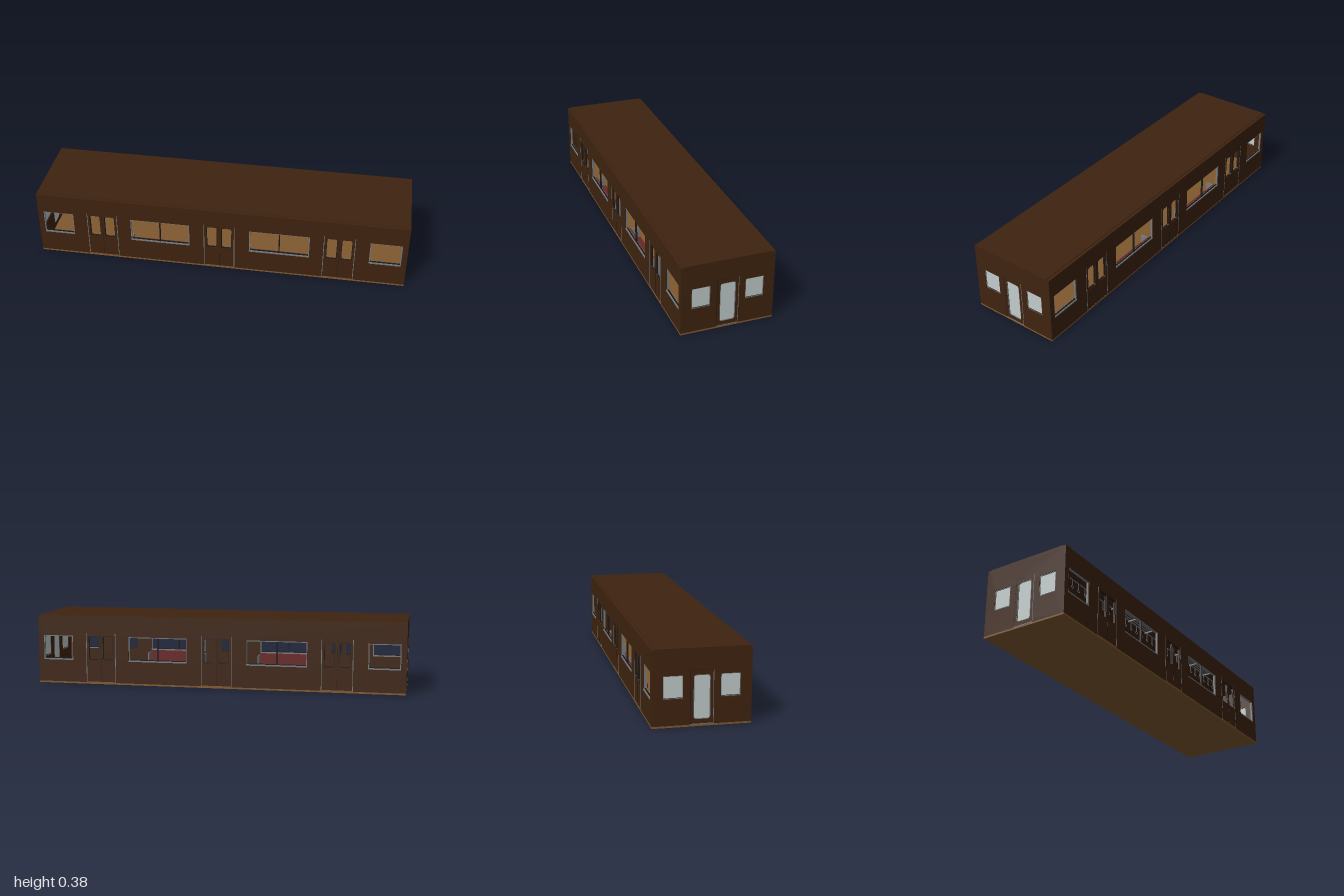
import * as THREE from 'three';

const mat = (name, color) => {
  const m = new THREE.MeshStandardMaterial({ color });
  m.name = name;
  return m;
};

export function createModel() {
  const brown = mat('body brown', 0x3f230f);
  const tan = mat('floor tan', 0x80592f);
  const metal = mat('metal grey', 0x767b7e);
  const glass = mat('pale glass', 0xc2cdcb);
  const red = mat('seat red', 0x6a2626);
  const dark = mat('dark trim', 0x1b1a1a);

  const model = new THREE.Group();
  model.name = 'railwayCarriage';
  const W = 0.238, T = 0.012;

  // Box given by its extents
  const box = (parent, name, m, x0, x1, y0, y1, z0, z1) => {
    const mesh = new THREE.Mesh(new THREE.BoxGeometry(x1 - x0, y1 - y0, z1 - z0), m);
    mesh.position.set((x0 + x1) / 2, (y0 + y1) / 2, (z0 + z1) / 2);
    mesh.name = name;
    parent.add(mesh);
    return mesh;
  };

  // Rounded rectangle outline as a shape or a hole
  const rect = (C, x0, x1, y0, y1, r = 0) => {
    const p = new C();
    p.moveTo(x0 + r, y0);
    p.lineTo(x1 - r, y0);
    if (r) p.quadraticCurveTo(x1, y0, x1, y0 + r);
    p.lineTo(x1, y1 - r);
    if (r) p.quadraticCurveTo(x1, y1, x1 - r, y1);
    p.lineTo(x0 + r, y1);
    if (r) p.quadraticCurveTo(x0, y1, x0, y1 - r);
    p.lineTo(x0, y0 + r);
    if (r) p.quadraticCurveTo(x0, y0, x0 + r, y0);
    return p;
  };
  const extrude = (parent, name, m, shape, depth, z) => {
    const g = new THREE.ExtrudeGeometry(shape, { depth, bevelEnabled: false, curveSegments: 5 });
    const mesh = new THREE.Mesh(g, m);
    mesh.position.z = z;
    mesh.name = name;
    parent.add(mesh);
  };
  // Hollow frame filling a hole of the given size
  const frame = (parent, name, m, x0, x1, y0, y1, b, r, depth, z) => {
    const s = rect(THREE.Shape, x0, x1, y0, y1, r);
    s.holes.push(rect(THREE.Path, x0 + b, x1 - b, y0 + b, y1 - b, r * 0.75));
    extrude(parent, name, m, s, depth, z);
  };

  // Floor, ceiling and slightly raised roof panel
  box(model, 'floor', tan, -1, 1, 0, 0.009, -W, W);
  box(model, 'roof', brown, -1, 1, 0.358, 0.372, -W + T, W - T);
  box(model, 'roofPanel', brown, -1, 1, 0.372, 0.375, -0.222, 0.222);

  const doors = [-0.643, 0, 0.643];
  const windows = [[-0.971, -0.803], [-0.486, -0.162], [0.162, 0.486], [0.803, 0.971]];

  // One long side, built facing +z with its outer face at z = W
  const makeSide = () => {
    const side = new THREE.Group();
    const wall = rect(THREE.Shape, -1, 1, 0.009, 0.372);
    for (const [a, b] of windows) wall.holes.push(rect(THREE.Path, a, b, 0.129, 0.264));
    for (const d of doors) for (const s of [-0.04, 0.04])
      wall.holes.push(rect(THREE.Path, d + s - 0.029, d + s + 0.029, 0.133, 0.266, 0.012));
    extrude(side, 'sideWall', brown, wall, T, W - T);

    for (const [a, b] of windows) {
      frame(side, 'windowFrame', metal, a, b, 0.129, 0.264, 0.005, 0, T - 0.002, W - T - 0.001);
      box(side, 'windowSill', metal, a, b, 0.129, 0.136, W - T - 0.004, W + 0.0005);
      box(side, 'windowLowerRail', dark, a + 0.005, b - 0.005, 0.136, 0.14, W - T, W - 0.005);
      if (b - a > 0.2) {
        const c = (a + b) / 2;
        box(side, 'windowMullion', dark, c - 0.003, c + 0.003, 0.134, 0.26, W - T, W - 0.003);
        // Longitudinal bench and luggage rack beneath and above the wide windows
        box(side, 'seatBase', dark, a, b, 0.009, 0.042, 0.175, W - T);
        box(side, 'seatCushion', red, a, b, 0.042, 0.066, 0.155, W - T);
        box(side, 'seatBack', red, a, b, 0.066, 0.128, 0.208, W - T);
        for (const e of [a - 0.006, b]) box(side, 'seatEnd', metal, e, e + 0.006, 0.009, 0.12, 0.16, W - T);
        for (let i = 0; i < 5; i++)
          box(side, 'rackBar', metal, a, b, 0.285, 0.289, 0.158 + i * 0.015, 0.163 + i * 0.015);
        for (const e of [a, c, b]) box(side, 'rackBracket', metal, e - 0.003, e + 0.003, 0.278, 0.285, 0.155, W - T);
      }
    }

    // Sliding door pairs: window rims, jamb lines and threshold
    for (const d of doors) {
      for (const s of [-0.04, 0.04])
        frame(side, 'doorWindowRim', dark, d + s - 0.029, d + s + 0.029, 0.133, 0.266, 0.003, 0.012, T - 0.004, W - T + 0.001);
      for (const s of [-0.082, 0.082])
        box(side, 'doorJamb', metal, d + s - 0.0018, d + s + 0.0018, 0.009, 0.28, W - 0.002, W + 0.0006);
      box(side, 'doorSeam', dark, d - 0.001, d + 0.001, 0.012, 0.278, W - 0.002, W + 0.0004);
      box(side, 'doorThreshold', tan, d - 0.082, d + 0.082, 0.009, 0.013, W - 0.004, W + 0.0008);
    }

    // Strap rail with hanging straps
    box(side, 'strapRail', metal, -0.8, 0.8, 0.322, 0.326, 0.118, 0.122);
    for (let i = 0; i < 30; i++) {
      const x = -0.78 + i * 0.0538;
      box(side, 'strap', dark, x - 0.002, x + 0.002, 0.29, 0.324, 0.117, 0.123);
      const ring = new THREE.Mesh(new THREE.TorusGeometry(0.008, 0.0016, 5, 10), metal);
      ring.position.set(x, 0.283, 0.12);
      ring.name = 'strapRing';
      side.add(ring);
    }
    return side;
  };

  // One end, built facing +z with its outer face at z = 1
  const makeEnd = () => {
    const end = new THREE.Group();
    const w = W - T;
    const wall = rect(THREE.Shape, -w, w, 0.009, 0.372);
    for (const s of [-0.1365, 0.1365]) wall.holes.push(rect(THREE.Path, s - 0.047, s + 0.047, 0.134, 0.247));
    wall.holes.push(rect(THREE.Path, -0.04, 0.04, 0.034, 0.247, 0.016));
    extrude(end, 'endWall', brown, wall, T, 1 - T);

    for (const s of [-0.1365, 0.1365]) {
      frame(end, 'endWindowFrame', metal, s - 0.047, s + 0.047, 0.137, 0.247, 0.003, 0, 0.008, 1 - T + 0.002);
      box(end, 'endWindowGlass', glass, s - 0.044, s + 0.044, 0.14, 0.244, 0.992, 0.995);
      box(end, 'endWindowRail', dark, s - 0.045, s + 0.045, 0.1395, 0.1415, 0.991, 0.997);
      box(end, 'endWindowLatch', dark, s - 0.002, s + 0.002, 0.134, 0.138, 0.991, 0.997);
    }
    // Gangway door
    frame(end, 'endDoorRim', metal, -0.04, 0.04, 0.034, 0.247, 0.003, 0.016, T - 0.002, 1 - T + 0.0015);
    extrude(end, 'endDoorGlass', glass, rect(THREE.Shape, -0.038, 0.038, 0.036, 0.245, 0.014), 0.003, 0.992);
    for (const s of [-0.055, 0.055])
      box(end, 'endDoorJamb', s > 0 ? metal : dark, s - 0.0014, s + 0.0014, 0.012, 0.27, 0.998, 1.0005);
    box(end, 'endDoorHead', dark, -0.055, 0.055, 0.2685, 0.27, 0.998, 1.0004);
    box(end, 'endDoorSill', metal, -0.056, 0.056, 0.009, 0.013, 0.998, 1.0006);
    return end;
  };

  for (const [i, label] of ['front', 'back'].entries()) {
    const side = makeSide();
    side.name = label + 'Side';
    side.rotation.y = i * Math.PI;
    model.add(side);
  }
  for (const [s, label] of [[1, 'left'], [-1, 'right']]) {
    const end = makeEnd();
    end.name = label + 'End';
    end.rotation.y = s * Math.PI / 2;
    model.add(end);
  }
  return model;
}
